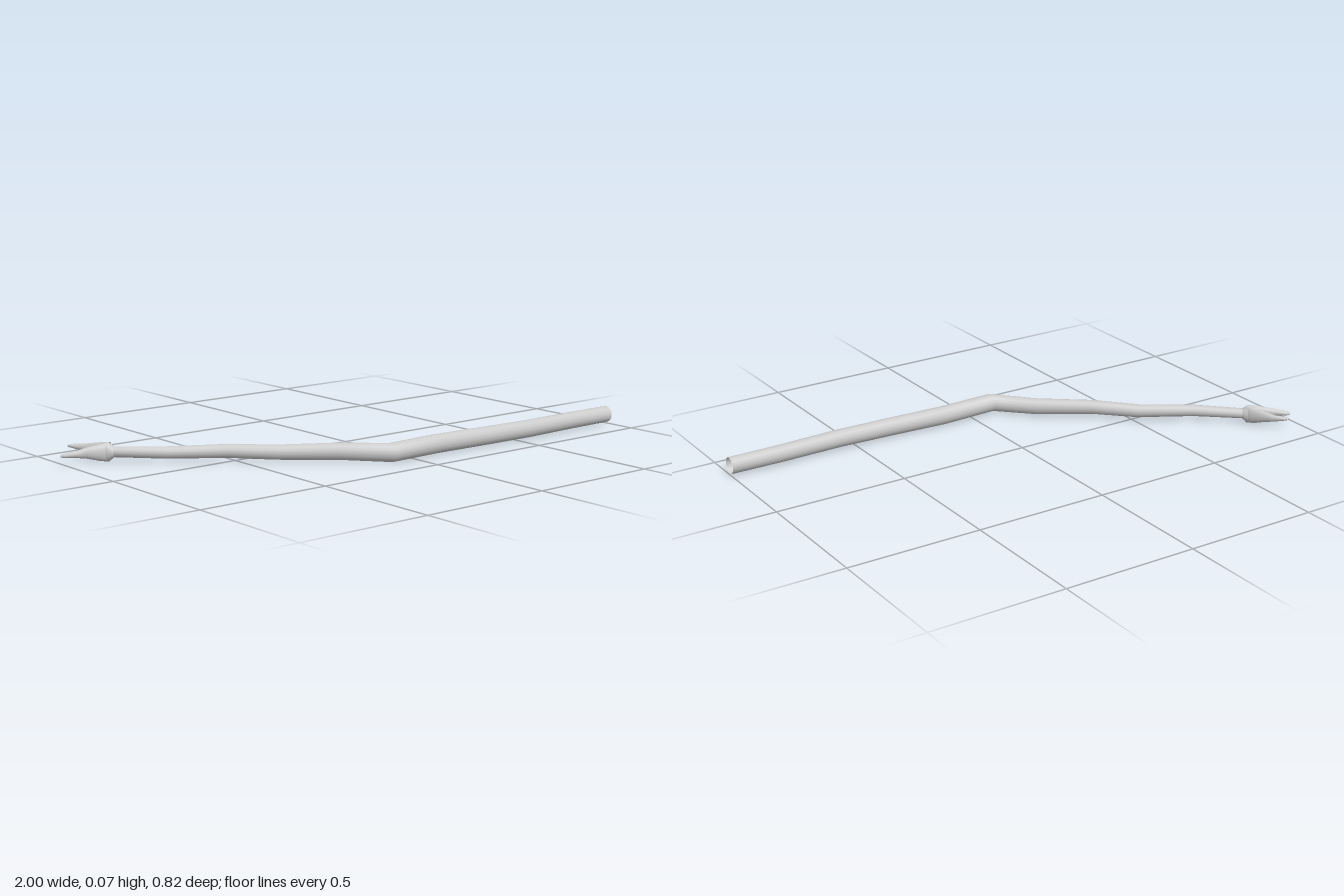
import * as THREE from 'three';

const SIDES = 16;

// Skin elliptical rings [x, y, z, halfWidth, halfHeight, fixed direction?] along a path
function loft(name, rings, capped, material) {
  const pos = [], index = [];
  const n = rings.length;
  rings.forEach(([x, y, z, w, h, dir], i) => {
    const a = rings[Math.max(i - 1, 0)], b = rings[Math.min(i + 1, n - 1)];
    const t = dir ?? Math.atan2(b[2] - a[2], b[0] - a[0]);
    for (let j = 0; j < SIDES; j++) {
      const q = (j / SIDES) * Math.PI * 2;
      const c = Math.cos(q) * w;
      pos.push(x - Math.sin(t) * c, y + Math.sin(q) * h, z + Math.cos(t) * c);
    }
  });
  for (let i = 0; i < n - 1; i++) {
    for (let j = 0; j < SIDES; j++) {
      const a = i * SIDES + j, b = i * SIDES + (j + 1) % SIDES;
      index.push(a, b, a + SIDES, b, b + SIDES, a + SIDES);
    }
  }
  if (capped) {
    const last = (n - 1) * SIDES, tip = pos.length / 3;
    pos.push(...rings[n - 1].slice(0, 3));
    for (let j = 0; j < SIDES; j++) index.push(last + j, last + (j + 1) % SIDES, tip);
  }
  const g = new THREE.BufferGeometry();
  g.setAttribute('position', new THREE.Float32BufferAttribute(pos, 3));
  g.setIndex(index);
  g.computeVertexNormals();
  const mesh = new THREE.Mesh(g, material);
  mesh.name = name;
  return mesh;
}

export function createModel() {
  const group = new THREE.Group();
  group.name = 'clawedArm';
  const mat = new THREE.MeshStandardMaterial({ color: 0xcccccc, side: THREE.DoubleSide });

  // Open-ended upper arm, sharp elbow and wavy tapering forearm
  const y = 0.038;
  group.add(loft('arm', [
    [1, y, 0.37, 0.03, 0.031, Math.PI],
    [0.8, y, 0.37, 0.03, 0.032],
    [0.56, y, 0.378, 0.031, 0.033],
    [0.36, y, 0.371, 0.031, 0.034],
    [0.12, y, 0.359, 0.032, 0.035],
    [-0.1, y, 0.369, 0.033, 0.034, Math.PI],
    [-0.225, y, 0.237, 0.027, 0.031],
    [-0.40, y, 0.113, 0.025, 0.027],
    [-0.52, y, -0.014, 0.023, 0.025],
    [-0.70, y, -0.128, 0.021, 0.022],
    [-0.84, y, -0.258, 0.018, 0.019],
  ], false, mat));

  // Flared wrist from which the two prongs split
  group.add(loft('wrist', [
    [-0.835, y, -0.253, 0.018, 0.019],
    [-0.849, y, -0.266, 0.023, 0.034],
    [-0.858, y, -0.274, 0.02, 0.035],
    [-0.872, y, -0.286, 0.012, 0.026],
  ], true, mat));

  // Outer and inner prongs, tall at the root and thin at the tip
  group.add(loft('outerProng', [
    [-0.85, y, -0.267, 0.016, 0.035],
    [-0.88, y, -0.275, 0.016, 0.03],
    [-0.92, 0.038, -0.298, 0.012, 0.02],
    [-0.955, 0.035, -0.312, 0.01, 0.012],
    [-0.985, 0.031, -0.333, 0.009, 0.008],
    [-0.998, 0.03, -0.342, 0.005, 0.004],
  ], true, mat));
  group.add(loft('innerProng', [
    [-0.846, y, -0.267, 0.015, 0.035],
    [-0.856, y, -0.295, 0.015, 0.031],
    [-0.873, 0.041, -0.33, 0.012, 0.022],
    [-0.892, 0.043, -0.367, 0.01, 0.013],
    [-0.914, 0.046, -0.396, 0.009, 0.008],
    [-0.927, 0.047, -0.41, 0.005, 0.004],
  ], true, mat));

  return group;
}
